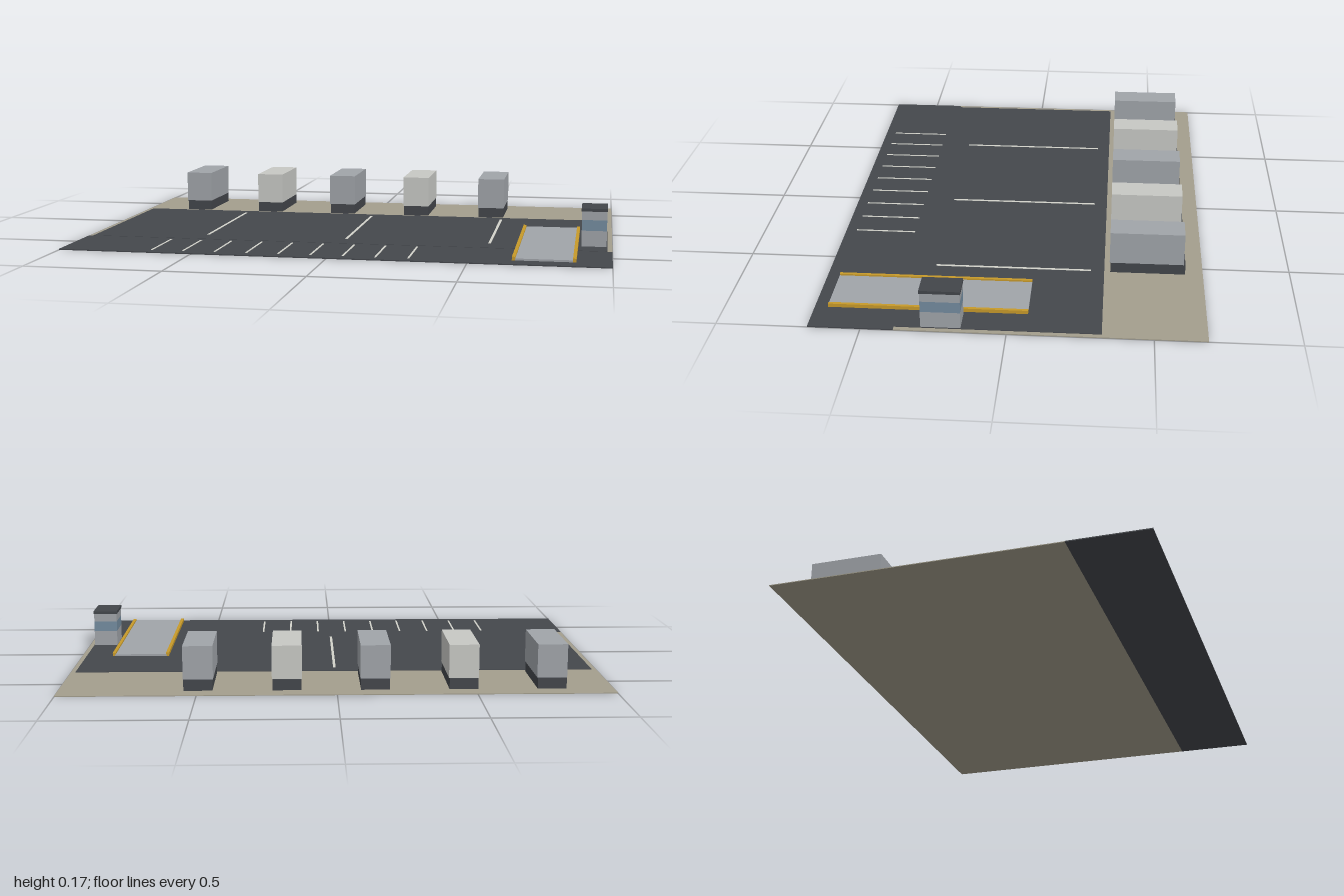
import * as THREE from 'three';

const mat = (name, color) => {
  const m = new THREE.MeshStandardMaterial({ color });
  m.name = name;
  return m;
};

export function createModel() {
  const gravel = mat('gravel', 0xa39e8d);
  const asphalt = mat('asphalt', 0x44474c);
  const paint = mat('line paint', 0xd2d2ca);
  const grey = mat('grey panel', 0xa0a4a9);
  const pale = mat('pale panel', 0xc7c8c4);
  const dark = mat('dark chassis', 0x42454a);
  const yellow = mat('safety yellow', 0xc79a2a);
  const glass = mat('window blue', 0x738b9f);

  const model = new THREE.Group();
  model.name = 'truckYard';

  // Box given by its extents on each axis
  const box = (name, material, [x0, x1], [y0, y1], [z0, z1], parent = model) => {
    const mesh = new THREE.Mesh(new THREE.BoxGeometry(x1 - x0, y1 - y0, z1 - z0), material);
    mesh.position.set((x0 + x1) / 2, (y0 + y1) / 2, (z0 + z1) / 2);
    mesh.name = name;
    parent.add(mesh);
    return mesh;
  };

  // Ground, paved yard and front road
  box('gravelGround', gravel, [-1, 1], [0, 0.003], [-0.683, 0.387]);
  box('yardPaving', asphalt, [-0.982, 0.982], [0.003, 0.005], [-0.323, 0.387]);
  box('frontRoad', asphalt, [-1, 1], [0, 0.004], [0.387, 0.683]);

  // Painted lane and parking lines
  for (const x of [-0.547, 0, 0.547]) {
    box('laneLine', paint, [x - 0.005, x + 0.005], [0.005, 0.0062], [-0.275, 0.297]);
  }
  for (let i = 0; i < 9; i++) {
    const x = -0.657 + i * 0.1183;
    box('parkingLine', paint, [x - 0.0035, x + 0.0035], [0.004, 0.0055], [0.415, 0.643]);
  }

  // Row of parked trailers, alternating body colours
  for (let i = 0; i < 5; i++) {
    const trailer = new THREE.Group();
    trailer.name = 'trailer';
    trailer.position.x = -0.776 + i * 0.3185;
    box('trailerChassis', dark, [-0.052, 0.052], [0.002, 0.043], [-0.618, -0.345], trailer);
    box('trailerBody', i % 2 ? pale : grey, [-0.054, 0.054], [0.043, 0.165], [-0.612, -0.342], trailer);
    model.add(trailer);
  }

  // Weighbridge: raised deck between two kerb rails
  const bridge = new THREE.Group();
  bridge.name = 'weighbridge';
  box('weighDeck', grey, [0.662, 0.867], [0.008, 0.015], [-0.066, 0.635], bridge);
  for (const x of [0.659, 0.87]) {
    box('kerbRail', yellow, [x - 0.006, x + 0.006], [0.008, 0.021], [-0.066, 0.635], bridge);
  }
  model.add(bridge);

  // Control booth with a window band all round and a flat roof
  const booth = new THREE.Group();
  booth.name = 'controlBooth';
  const bx = [0.887, 0.979], bz = [0.158, 0.296];
  box('boothLowerWall', grey, bx, [0.003, 0.064], bz, booth);
  box('boothWindows', glass, bx, [0.064, 0.104], bz, booth);
  box('boothUpperWall', grey, bx, [0.104, 0.136], bz, booth);
  box('boothRoof', dark, [0.885, 0.981], [0.136, 0.147], [0.156, 0.298], booth);
  model.add(booth);

  return model;
}
